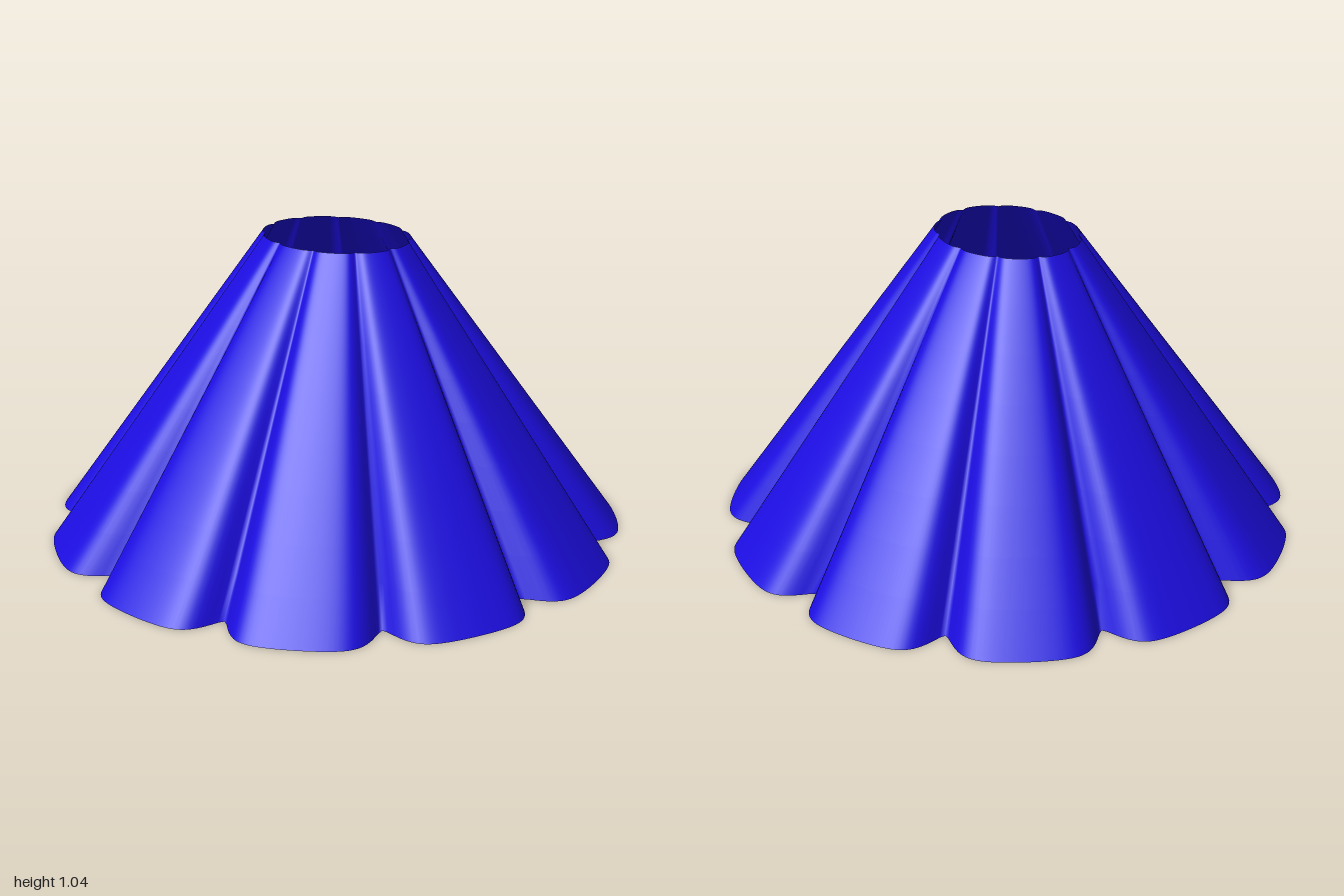
import * as THREE from 'three';
import { mergeVertices } from 'three/addons/utils/BufferGeometryUtils.js';

const PLEATS = 11, HEIGHT = 1.04;
const STEP = (Math.PI * 2) / PLEATS;
const PHASE = THREE.MathUtils.degToRad(-2.4); // angle of the first fold

// 1 at the bottom of a fold, falling to 0 on the broad face of a pleat
function fold(angle) {
  const t = (angle - PHASE) / STEP;
  const degrees = THREE.MathUtils.radToDeg(Math.abs(t - Math.round(t)) * STEP);
  return Math.exp(-Math.pow(degrees / 3.6, 1.5));
}

// Open cone, oval at the waist, with folds that deepen towards the hem
function skirtGeometry() {
  const cone = new THREE.CylinderGeometry(1, 1, HEIGHT, PLEATS * 36, 8, true, Math.PI / 2 - PHASE);
  cone.translate(0, HEIGHT / 2, 0);
  const p = cone.attributes.position;
  for (let i = 0; i < p.count; i++) {
    const angle = Math.atan2(p.getZ(i), p.getX(i));
    const up = p.getY(i) / HEIGHT;
    const dent = fold(angle);
    const hem = 1.002 - 0.124 * dent;
    const waist = 1.02 - 0.05 * dent;
    p.setX(i, Math.cos(angle) * THREE.MathUtils.lerp(hem, 0.272 * waist, up));
    p.setZ(i, Math.sin(angle) * THREE.MathUtils.lerp(hem, 0.228 * waist, up));
  }
  // Weld the seam so the shading runs smoothly all the way round
  cone.deleteAttribute('uv');
  cone.deleteAttribute('normal');
  const welded = mergeVertices(cone, 1e-5);
  welded.computeVertexNormals();
  return welded;
}

export function createModel() {
  const group = new THREE.Group();
  group.name = 'pleatedSkirt';
  const material = new THREE.MeshStandardMaterial({ color: 0x1c0de0, side: THREE.DoubleSide });
  const skirt = new THREE.Mesh(skirtGeometry(), material);
  skirt.name = 'skirt';
  group.add(skirt);
  return group;
}
